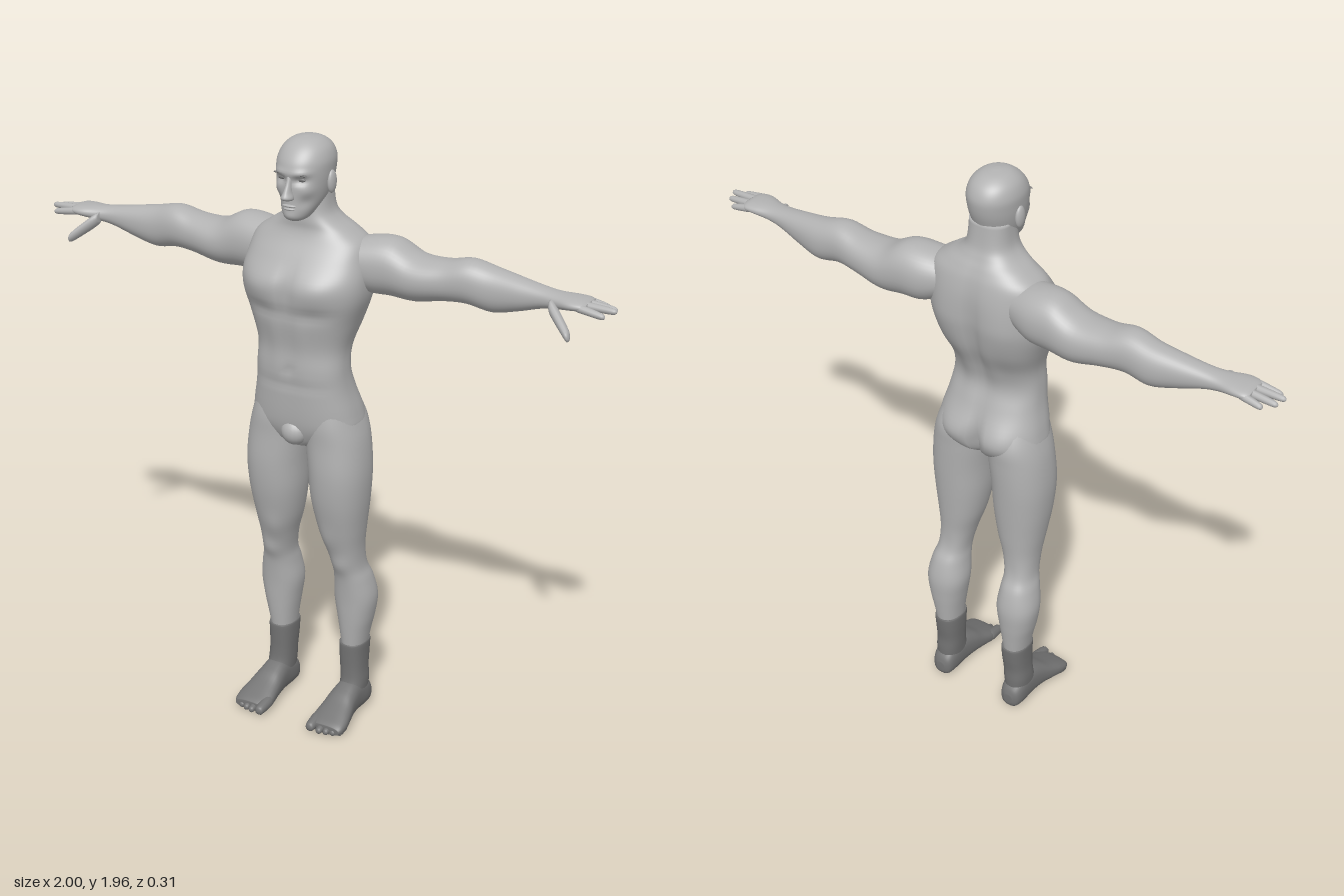
import * as THREE from 'three';

const skin = new THREE.MeshStandardMaterial({ color: 0xb2b2b2 });
skin.name = 'skin grey';
const boot = new THREE.MeshStandardMaterial({ color: 0x747474 });
boot.name = 'boot grey';

// Skin over rounded cross-sections [t, aMin, aMax, bMin, bMax] along one axis.
// bumps: [x, y, z, rx, ry, rz, height], pushed away from the section centre.
const AXES = { x: [0, 1, 2], y: [1, 0, 2], z: [2, 0, 1] };
function loft(axis, sections, { n = 32, k = 5, power = 2.2, bumps = [] } = {}) {
  const [T, A, B] = AXES[axis], pos = [], index = [], rings = [];
  const last = sections.length - 1;
  for (let i = 0; i < last; i++) {
    const p = [-1, 0, 1, 2].map(o => sections[Math.min(last, Math.max(0, i + o))]);
    for (let s = 0; s < k + (i === last - 1 ? 1 : 0); s++) {
      const u = s / k;
      rings.push(p[1].map((v, c) => {
        const m0 = (p[2][c] - p[0][c]) / 2, m1 = (p[3][c] - v) / 2, d = p[2][c] - v;
        return v + u * (m0 + u * (3 * d - 2 * m0 - m1 + u * (m0 + m1 - 2 * d)));
      }));
    }
  }
  const round = v => Math.sign(v) * Math.abs(v) ** (2 / power);
  for (const [t, a0, a1, b0, b1] of rings) {
    const ca = (a0 + a1) / 2, cb = (b0 + b1) / 2;
    for (let j = 0; j < n; j++) {
      const w = j / n * Math.PI * 2, q = [0, 0, 0];
      const da = round(Math.cos(w)) * (a1 - a0) / 2, db = round(Math.sin(w)) * (b1 - b0) / 2;
      q[T] = t; q[A] = ca + da; q[B] = cb + db;
      let h = 0;
      for (const [x, y, z, rx, ry, rz, amount] of bumps)
        h += amount * Math.exp(-(((q[0] - x) / rx) ** 2) - ((q[1] - y) / ry) ** 2 - ((q[2] - z) / rz) ** 2);
      const len = Math.hypot(da, db) || 1;
      q[A] += da / len * h; q[B] += db / len * h;
      pos.push(...q);
    }
  }
  const tri = (a, b, c) => axis === 'y' ? index.push(a, c, b) : index.push(a, b, c);
  for (let i = 0; i < rings.length - 1; i++)
    for (let j = 0; j < n; j++) {
      const a = i * n + j, b = i * n + (j + 1) % n;
      tri(a, b, a + n); tri(b, b + n, a + n);
    }
  for (const r of [0, rings.length - 1]) {
    const s = rings[r], c = [0, 0, 0], id = pos.length / 3;
    c[T] = s[0]; c[A] = (s[1] + s[2]) / 2; c[B] = (s[3] + s[4]) / 2;
    pos.push(...c);
    for (let j = 0; j < n; j++) {
      const a = r * n + j, b = r * n + (j + 1) % n;
      r ? tri(a, b, id) : tri(b, a, id);
    }
  }
  const g = new THREE.BufferGeometry();
  g.setAttribute('position', new THREE.Float32BufferAttribute(pos, 3));
  g.setIndex(index);
  g.computeVertexNormals();
  return g;
}

// Finger or toe from one point to another, running along x or z
function digit(axis, from, to, r) {
  const [T, A, B] = AXES[axis];
  return loft(axis, [[0, .7], [.12, 1], [.5, .95], [.85, .8], [.96, .55], [1, .08]].map(([u, f]) => {
    const p = from.map((v, i) => v + (to[i] - v) * u), q = r * f;
    return [p[T], p[A] - q, p[A] + q, p[B] - q, p[B] + q];
  }), { n: 12, k: 3, power: 2 });
}

function ellipsoid(x, y, z, rx, ry, rz) {
  return new THREE.SphereGeometry(1, 20, 14).scale(rx, ry, rz).translate(x, y, z);
}

function mirrored(g) {
  const m = g.clone().scale(-1, 1, 1), a = m.index.array;
  for (let i = 0; i < a.length; i += 3) [a[i], a[i + 1]] = [a[i + 1], a[i]];
  m.computeVertexNormals();
  return m;
}

const pair = list => list.flatMap(b => [b, [-b[0], ...b.slice(1)]]);

export function createModel() {
  const model = new THREE.Group();
  model.name = 'figure';
  const add = (name, g, mat = skin) => {
    const m = new THREE.Mesh(g, mat);
    m.name = name;
    model.add(m);
  };
  const addPair = (name, g, mat) => {
    add('left ' + name, g, mat);
    add('right ' + name, mirrored(g), mat);
  };

  // Torso and neck, with chest, shoulder-blade and buttock relief
  add('torso', loft('y', [
    [.985, -.06, .06, -.07, .07], [1.01, -.13, .13, -.11, .085],
    [1.05, -.18, .18, -.13, .1], [1.1, -.178, .178, -.13, .108],
    [1.18, -.16, .16, -.1, .113], [1.25, -.152, .152, -.075, .115],
    [1.32, -.152, .152, -.09, .112], [1.4, -.176, .176, -.13, .125],
    [1.48, -.203, .203, -.148, .138], [1.54, -.208, .208, -.152, .135],
    [1.6, -.2, .2, -.15, .1], [1.65, -.185, .185, -.14, .065],
    [1.685, -.14, .14, -.125, .05], [1.715, -.095, .095, -.108, .05],
    [1.75, -.073, .073, -.094, .048], [1.82, -.067, .067, -.085, .04],
  ], { n: 72, power: 2.5, bumps: [
    ...pair([
      [.09, 1.52, .14, .07, .055, .05, .012], [.08, 1.075, -.14, .06, .07, .06, .018],
      [.1, 1.5, -.15, .06, .1, .05, .01], [.045, 1.3, -.09, .03, .1, .05, .008],
      [.04, 1.35, .12, .03, .12, .04, .006], [.09, 1.44, .13, .08, .02, .04, -.008],
    ]),
    [0, 1.52, .14, .016, .06, .06, -.01], [0, 1.42, -.14, .025, .2, .06, -.018],
    [0, 1.06, -.14, .016, .07, .07, -.035], [0, 1.25, .12, .01, .015, .04, -.006],
    [0, 1.2, .12, .2, .012, .04, -.004],
  ] }));
  add('groin', ellipsoid(0, 1.035, .075, .045, .045, .042));

  // Head with brow, eye sockets and cheeks
  add('head', loft('y', [
    [1.722, -.018, .018, .04, .085], [1.732, -.036, .036, .01, .1],
    [1.757, -.053, .053, -.03, .107], [1.79, -.068, .068, -.07, .107],
    [1.83, -.078, .078, -.09, .108], [1.87, -.083, .083, -.101, .11],
    [1.905, -.083, .083, -.102, .102], [1.938, -.07, .07, -.085, .078],
    [1.96, -.043, .043, -.052, .046], [1.968, -.008, .008, -.01, .01],
  ], { n: 64, k: 6, power: 2.1, bumps: [
    ...pair([
      [.033, 1.852, .1, .02, .012, .03, -.013], [.035, 1.874, .1, .03, .01, .03, .006],
      [.05, 1.82, .085, .02, .02, .03, .005], [.045, 1.785, .09, .02, .02, .03, -.005],
    ]),
    [0, 1.74, .1, .025, .014, .03, .005],
  ] }));
  add('nose', loft('y', [
    [1.791, -.008, .008, .09, .113], [1.796, -.017, .017, .09, .132],
    [1.804, -.018, .018, .09, .14], [1.82, -.012, .012, .09, .132],
    [1.845, -.009, .009, .09, .118], [1.872, -.009, .009, .09, .108],
  ], { n: 20, power: 2 }));
  add('upper lip', ellipsoid(0, 1.774, .105, .024, .005, .009));
  add('lower lip', ellipsoid(0, 1.764, .104, .02, .005, .009));
  addPair('ear', ellipsoid(.083, 1.835, -.004, .012, .036, .021).rotateX(0));
  addPair('eye', ellipsoid(.033, 1.854, .0895, .014, .006, .0045), boot);
  addPair('eyebrow', ellipsoid(.036, 1.871, .1, .021, .0035, .0045).rotateZ(0), boot);

  // Arms down to the palm
  addPair('arm', loft('x', [
    [.1, 1.54, 1.645, -.12, .03], [.19, 1.495, 1.668, -.152, .022],
    [.27, 1.492, 1.67, -.157, .012], [.35, 1.49, 1.633, -.155, .005],
    [.44, 1.505, 1.632, -.146, -.006], [.52, 1.51, 1.648, -.137, -.012],
    [.6, 1.497, 1.633, -.135, -.022], [.68, 1.516, 1.62, -.12, -.026],
    [.76, 1.542, 1.608, -.104, -.028], [.81, 1.553, 1.603, -.1, -.02],
    [.86, 1.562, 1.602, -.107, -.004], [.895, 1.567, 1.599, -.108, -.005],
    [.912, 1.575, 1.592, -.098, -.015],
  ], { n: 40, power: 2.2, bumps: [
    [.38, 1.57, 0, .07, .05, .05, .006], [.34, 1.5, -.1, .08, .05, .05, .006],
  ] }));
  const fingers = [[-.094, -.099, .957], [-.07, -.072, .99], [-.044, -.043, 1], [-.019, -.014, .975]];
  fingers.forEach(([z0, z1, tip], i) =>
    addPair('finger ' + (i + 1), digit('x', [.875, 1.583, z0], [tip, 1.568 + (i % 3) * .006, z1], .0125)));
  addPair('thumb', digit('x', [.8, 1.572, -.025], [.888, 1.5, .03], .022));

  // Legs with thigh, knee and calf
  addPair('leg', loft('y', [
    [.24, .098, .173, -.132, -.027], [.3, .09, .185, -.14, -.02],
    [.36, .08, .199, -.147, -.014], [.43, .07, .208, -.15, -.008],
    [.5, .077, .196, -.135, .002], [.55, .08, .182, -.115, .014],
    [.62, .066, .182, -.105, .035], [.7, .042, .192, -.11, .06],
    [.8, .024, .205, -.118, .084], [.9, .017, .21, -.125, .095],
    [1, .008, .201, -.13, .094], [1.07, .01, .184, -.13, .095],
    [1.14, .03, .16, -.1, .085],
  ], { n: 40, bumps: [
    [.13, .565, .02, .03, .03, .04, .007], [.1, .66, .05, .03, .05, .04, .006],
    [.13, .56, -.115, .03, .05, .03, -.006],
  ] }));

  // Ankle boots: cuff, foot and toes
  addPair('boot cuff', loft('y', [
    [.07, .1, .18, -.125, 0], [.115, .097, .182, -.128, -.02], [.16, .095, .179, -.128, -.024],
    [.21, .092, .179, -.135, -.022], [.254, .091, .18, -.139, -.02], [.257, .095, .176, -.135, -.024],
  ], { n: 32, k: 4, power: 2.4 }), boot);
  addPair('foot', loft('z', [
    [-.141, .125, .155, .025, .06], [-.13, .107, .173, .008, .085],
    [-.1, .099, .182, .004, .112], [-.04, .096, .184, .006, .122],
    [.01, .09, .19, .008, .105], [.05, .085, .199, .007, .082],
    [.09, .08, .207, .004, .062], [.12, .083, .206, .004, .047],
    [.135, .092, .198, .008, .037],
  ], { n: 32, power: 2.5 }), boot);
  const toes = [[.098, .157, .02], [.13, .154, .014], [.153, .148, .0135], [.175, .14, .013], [.194, .128, .0125]];
  toes.forEach(([x, tip, r], i) =>
    addPair('toe ' + (i + 1), digit('z', [x, r + .014, .085], [x, r + .003, tip], r), boot));

  return model;
}
